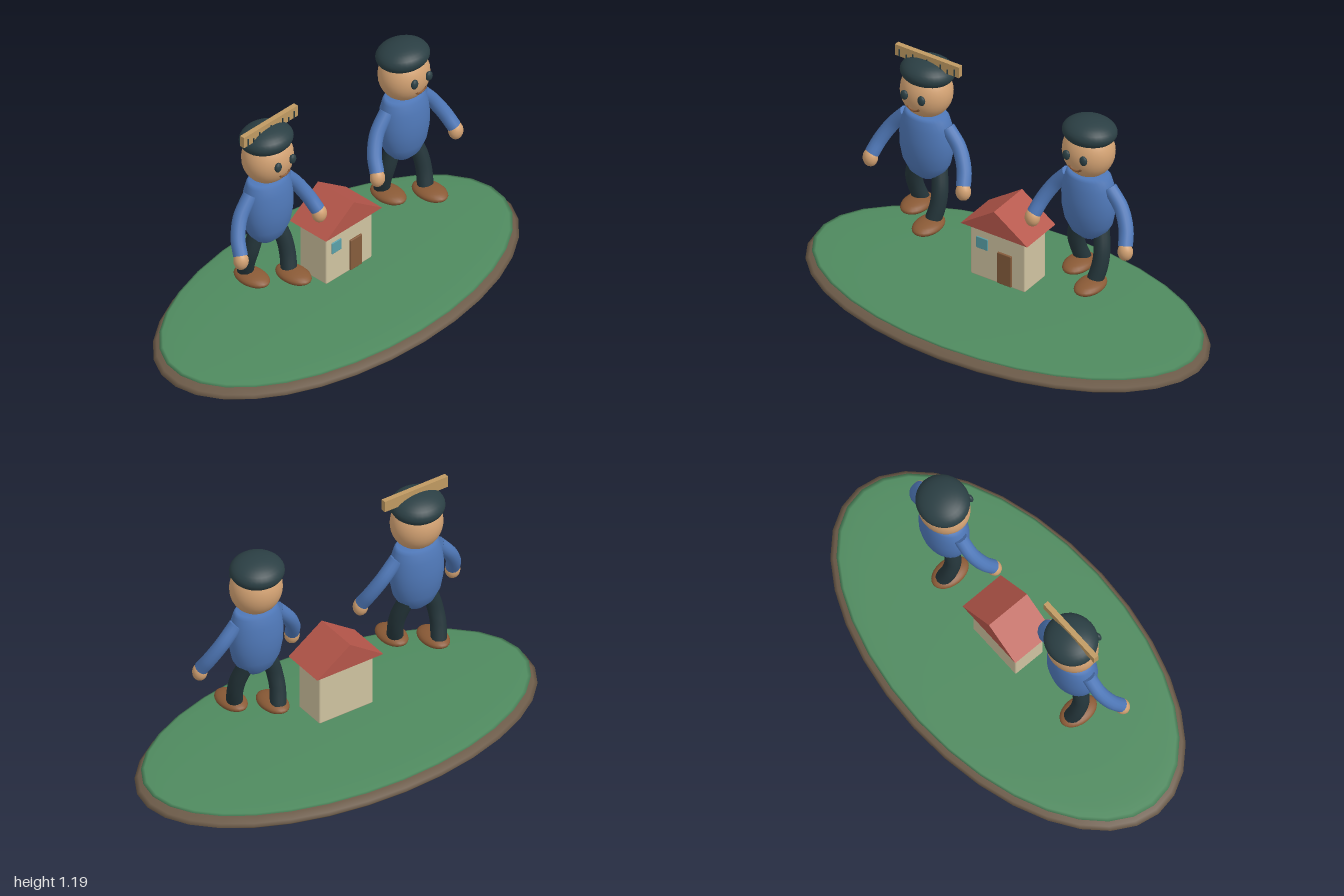
import * as THREE from 'three';
import { RoundedBoxGeometry } from 'three/addons/geometries/RoundedBoxGeometry.js';

const mat = (color) => new THREE.MeshStandardMaterial({ color });
const M = {
  skin: mat(0xd3a273), shirt: mat(0x4f78b8), dark: mat(0x2b3f44), trousers: mat(0x24353a),
  shoe: mat(0x8a5a36), grass: mat(0x4f8a5f), soil: mat(0x6b5a48), roof: mat(0xb5564a),
  wall: mat(0xcfc3a0), door: mat(0x855c3c), glass: mat(0x5aa0a8), wood: mat(0xc09a62),
};

function add(parent, name, geometry, material, x = 0, y = 0, z = 0) {
  const mesh = new THREE.Mesh(geometry, material);
  mesh.name = name;
  mesh.position.set(x, y, z);
  parent.add(mesh);
  return mesh;
}

// Sphere stretched to three radii
function ellipsoid(parent, name, material, [x, y, z], [rx, ry, rz], segments = 32) {
  const geometry = new THREE.SphereGeometry(1, segments, segments / 2).scale(rx, ry, rz);
  return add(parent, name, geometry, material, x, y, z);
}

// Smooth tube through points, closed with flat ends
function limb(parent, name, material, points, radius) {
  const curve = new THREE.CatmullRomCurve3(points.map((p) => new THREE.Vector3(...p)));
  const group = new THREE.Group();
  group.name = name;
  add(group, name + 'Tube', new THREE.TubeGeometry(curve, 20, radius, 14), material);
  for (const t of [0, 1]) {
    const cap = add(group, name + 'End', new THREE.CircleGeometry(radius, 14), material);
    cap.position.copy(curve.getPoint(t));
    const out = curve.getTangent(t).multiplyScalar(t ? 1 : -1);
    cap.quaternion.setFromUnitVectors(new THREE.Vector3(0, 0, 1), out);
  }
  parent.add(group);
}

function createFigure(name, x) {
  const g = new THREE.Group();
  g.name = name;
  g.position.x = x;

  // Egg-shaped body, flattened front to back
  const profile = [[0, 0.555], [0.045, 0.565], [0.085, 0.595], [0.115, 0.65], [0.129, 0.72],
    [0.13, 0.78], [0.122, 0.84], [0.108, 0.885], [0.095, 0.9], [0, 0.903]];
  const body = new THREE.LatheGeometry(profile.map(([r, y]) => new THREE.Vector2(r, y)), 32);
  add(g, 'torso', body.scale(1, 1, 0.73), M.shirt);

  // Head, cap and face
  ellipsoid(g, 'head', M.skin, [0, 1.01, 0], [0.121, 0.125, 0.111]);
  ellipsoid(g, 'cap', M.dark, [0, 1.105, -0.008], [0.125, 0.064, 0.116]).rotation.x = -0.1;
  for (const s of [-1, 1]) ellipsoid(g, 'eye', M.dark, [s * 0.045, 1.024, 0.109], [0.019, 0.024, 0.013], 16);
  const smile = new THREE.TorusGeometry(0.036, 0.005, 8, 16, Math.PI * 0.7).rotateZ(Math.PI * 1.15);
  add(g, 'mouth', smile, M.shoe, 0, 0.989, 0.108).rotation.x = 0.2;

  for (const s of [-1, 1]) {
    // Arms swing outwards and forwards
    limb(g, 'arm', M.shirt, [[s * 0.108, 0.85, -0.002], [s * 0.175, 0.77, 0.005],
      [s * 0.22, 0.69, 0.035], [s * 0.24, 0.63, 0.07]], 0.033);
    ellipsoid(g, 'hand', M.skin, [s * 0.244, 0.608, 0.077], [0.035, 0.043, 0.033], 20);

    // Walking legs: the left one leads
    const stride = s > 0 ? 0.055 : -0.06;
    limb(g, 'leg', M.trousers, [[s * 0.06, 0.62, -0.01], [s * 0.083, 0.53, stride * 0.35],
      [s * 0.085, 0.46, stride * 0.7], [s * 0.072, 0.385, stride * 1.1]], 0.037);
    ellipsoid(g, 'shoe', M.shoe, [s * 0.07, 0.378, s > 0 ? 0.09 : -0.027], [0.062, 0.029, 0.094], 24);
  }
  return g;
}

function createHouse() {
  const g = new THREE.Group();
  g.name = 'house';
  add(g, 'walls', new RoundedBoxGeometry(0.285, 0.27, 0.16, 2, 0.007), M.wall, 0, 0.335, 0);
  // Gable roof with the ridge running front to back
  const gable = new THREE.Shape([[-0.175, 0.466], [0.175, 0.466], [0, 0.587]].map((p) => new THREE.Vector2(...p)));
  const roof = new THREE.ExtrudeGeometry(gable, { depth: 0.22, bevelEnabled: false });
  add(g, 'roof', roof, M.roof, 0, 0, -0.11);
  add(g, 'door', new RoundedBoxGeometry(0.073, 0.16, 0.016, 2, 0.004), M.door, 0.038, 0.286, 0.081);
  add(g, 'window', new RoundedBoxGeometry(0.06, 0.058, 0.01, 2, 0.003), M.glass, -0.081, 0.378, 0.08);
  return g;
}

function createRuler() {
  const g = new THREE.Group();
  g.name = 'ruler';
  add(g, 'rulerBar', new THREE.BoxGeometry(0.335, 0.055, 0.024), M.wood, 0, 1.166, 0);
  // Alternating long and short marks along the lower edge
  for (let i = 0; i < 9; i++) {
    const h = i % 2 ? 0.022 : 0.036;
    add(g, 'rulerMark', new THREE.BoxGeometry(0.005, h, 0.006), M.dark, -0.144 + i * 0.036, 1.14 + h / 2, 0.013);
  }
  g.position.x = -0.418;
  return g;
}

export function createModel() {
  const model = new THREE.Group();
  model.name = 'islandScene';

  // Flat oval island
  ellipsoid(model, 'soil', M.soil, [0, 0.06, 0], [1, 0.06, 0.545], 32);
  ellipsoid(model, 'grass', M.grass, [0, 0.105, 0], [0.97, 0.018, 0.52], 32);

  model.add(createHouse());
  model.add(createFigure('leftHandFigure', -0.427));
  model.add(createFigure('rightHandFigure', 0.424));
  model.add(createRuler());
  return model;
}
